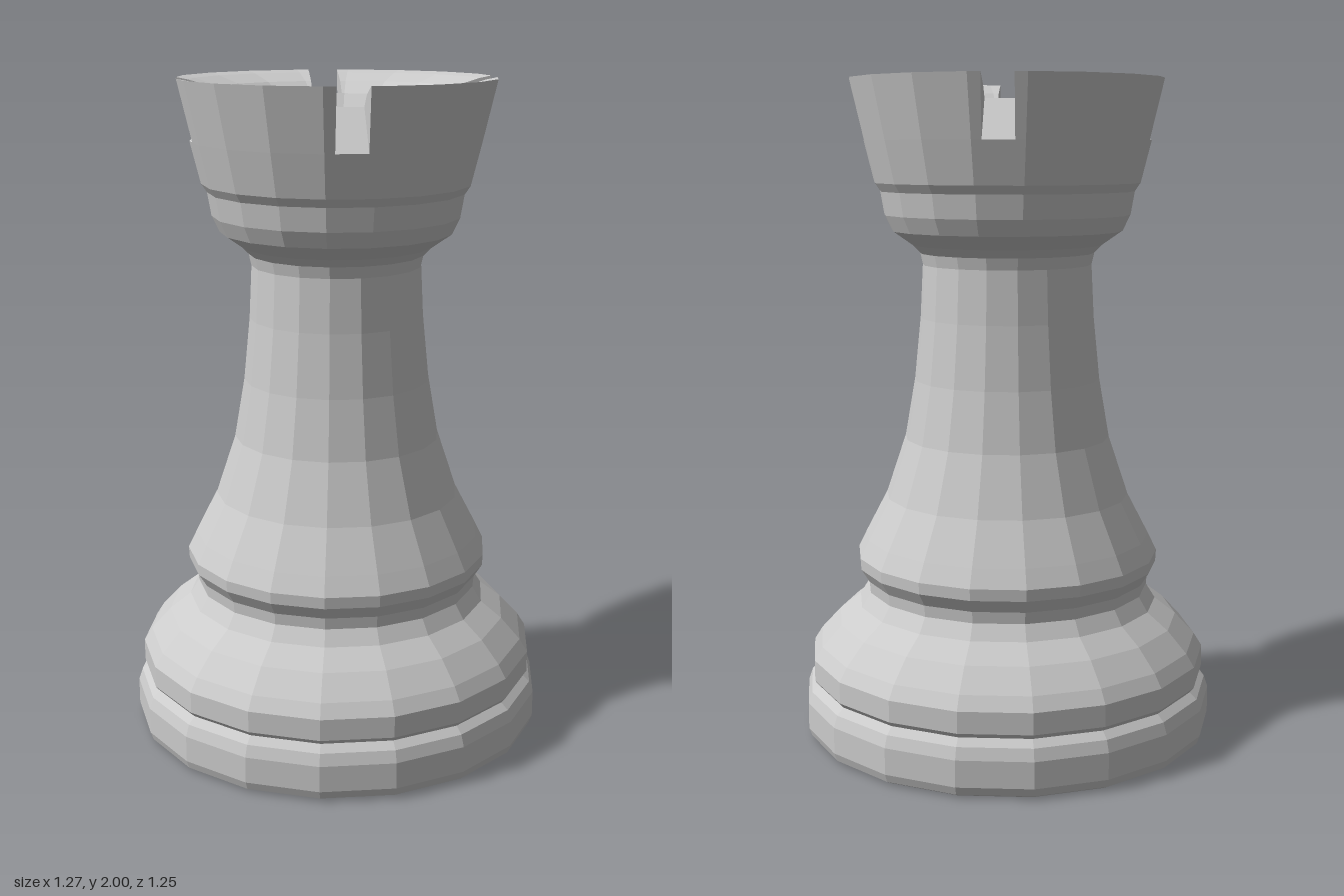
import * as THREE from 'three';

const SIDES = 18;
const STEP = (2 * Math.PI) / SIDES;
const SLOT = 0.046; // half width of a notch

const material = new THREE.MeshStandardMaterial({ color: 0xcccccc, flatShading: true });

// Profiles as [radius, height], running upwards
const baseProfile = [
  [0, 0], [0.61, 0], [0.628, 0.01], [0.637, 0.035], [0.637, 0.115], [0.625, 0.15], [0.603, 0.17],
  [0.615, 0.185], [0.615, 0.25], [0.59, 0.29], [0.53, 0.355], [0.465, 0.405], [0.437, 0.45],
];
const stemProfile = [
  [0.437, 0.45], [0.44, 0.485], [0.465, 0.525], [0.467, 0.56], [0.44, 0.615], [0.375, 0.74],
  [0.315, 0.92], [0.284, 1.1], [0.265, 1.29], [0.257, 1.45], [0.265, 1.485],
];
const headProfile = [
  [0.265, 1.485], [0.29, 1.51], [0.35, 1.552], [0.373, 1.6], [0.385, 1.67], [0.402, 1.695],
  [0.433, 1.82], [0.31, 1.935], [0.278, 1.895], [0, 1.895],
];
// Outer wall, rim and inner rounding of a battlement
const battlementProfile = [[0.433, 1.82], [0.475, 2], [0.44, 1.993], [0.365, 1.97], [0.31, 1.935]];

function turned(name, profile) {
  const points = profile.map(([r, y]) => new THREE.Vector2(r, y));
  const mesh = new THREE.Mesh(new THREE.LatheGeometry(points, SIDES, Math.PI / 2), material);
  mesh.name = name;
  return mesh;
}

// One quarter of the crown between two notches, mirrored by sx and sz
function battlement(name, sx, sz) {
  const n = battlementProfile.length;
  const stations = 6;
  const positions = [];
  for (let i = 0; i < stations; i++) {
    for (const [r, y] of battlementProfile) {
      let x = r * Math.cos(i * STEP);
      let z = r * Math.sin(i * STEP);
      if (i === 0) { // straight cut beside the side notch
        x = r - SLOT * Math.tan(STEP / 2);
        z = SLOT;
      } else if (i === stations - 1) { // straight cut beside the front or back notch
        x = SLOT;
        z = r * Math.cos(STEP / 2);
      }
      positions.push(sx * x, y, sz * z);
    }
  }

  const index = [];
  const face = (a, b, c) => (sx * sz > 0 ? index.push(a, b, c) : index.push(a, c, b));
  for (let i = 0; i < stations - 1; i++) {
    for (let j = 0; j < n - 1; j++) {
      const a = i * n + j;
      face(a, a + 1, a + n);
      face(a + 1, a + n + 1, a + n);
    }
  }
  // Notch walls at both ends
  const last = (stations - 1) * n;
  for (let j = 1; j < n - 1; j++) {
    face(0, j + 1, j);
    face(last, last + j, last + j + 1);
  }

  const geometry = new THREE.BufferGeometry();
  geometry.setAttribute('position', new THREE.Float32BufferAttribute(positions, 3));
  geometry.setIndex(index);
  const flat = geometry.toNonIndexed();
  flat.computeVertexNormals();
  const mesh = new THREE.Mesh(flat, material);
  mesh.name = name;
  return mesh;
}

export function createModel() {
  const model = new THREE.Group();
  model.name = 'chessRook';
  model.add(
    turned('base', baseProfile),
    turned('stem', stemProfile),
    turned('head', headProfile),
  );

  const crown = new THREE.Group();
  crown.name = 'battlements';
  for (const [sx, side] of [[1, 'Left'], [-1, 'Right']]) {
    for (const [sz, end] of [[1, 'front'], [-1, 'back']]) {
      crown.add(battlement(`${end}${side}Battlement`, sx, sz));
    }
  }
  model.add(crown);
  return model;
}
